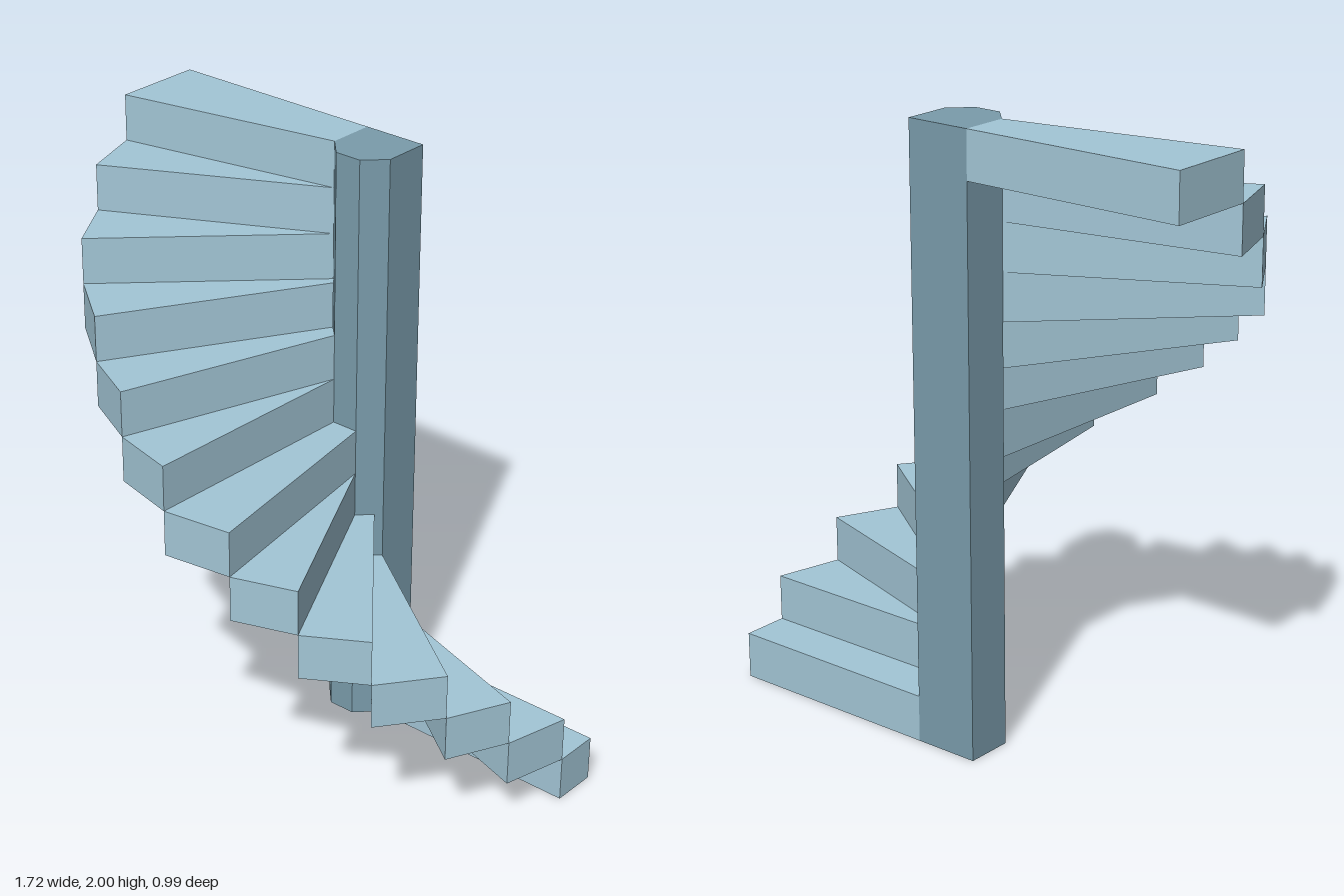
import * as THREE from 'three';

const STEPS = 13;
const HEIGHT = 2;
const RISE = HEIGHT / STEPS;

// Plan corners as [x, z], running from the lowest step round to the highest
const outer = [
  [0.86, -0.495], [0.86, -0.34], [0.807, -0.12], [0.712, 0.08], [0.57, 0.27],
  [0.378, 0.387], [0.17, 0.46], [-0.063, 0.495], [-0.283, 0.443], [-0.48, 0.348],
  [-0.672, 0.205], [-0.79, 0.015], [-0.862, -0.195], [-0.862, -0.495],
];
const inner = [
  [0.11, -0.495], [0.11, -0.338], [0.11, -0.338], [0.11, -0.338], [0.09, -0.318],
  [0.045, -0.273], [0.045, -0.273], [-0.048, -0.273], [-0.048, -0.273], [-0.09, -0.315],
  [-0.11, -0.338], [-0.11, -0.338], [-0.11, -0.338], [-0.11, -0.495],
];
const columnPlan = [
  [0.11, -0.495], [0.11, -0.338], [0.045, -0.273],
  [-0.048, -0.273], [-0.11, -0.338], [-0.11, -0.495],
];

// Upright prism standing on a plan outline
function prism(plan, height, material, name) {
  const shape = new THREE.Shape(plan.map(([x, z]) => new THREE.Vector2(x, -z)));
  const geometry = new THREE.ExtrudeGeometry(shape, { depth: height, bevelEnabled: false });
  geometry.rotateX(-Math.PI / 2);
  const mesh = new THREE.Mesh(geometry, material);
  mesh.name = name;
  return mesh;
}

export function createModel() {
  const model = new THREE.Group();
  model.name = 'spiralStaircase';
  const stepMaterial = new THREE.MeshStandardMaterial({ color: 0xa3c6d6, flatShading: true });
  const columnMaterial = new THREE.MeshStandardMaterial({ color: 0x7a9cab, flatShading: true });

  // Central column with chamfered front corners
  model.add(prism(columnPlan, HEIGHT, columnMaterial, 'column'));

  // Winding solid steps, each one rise above the last
  const steps = new THREE.Group();
  steps.name = 'steps';
  for (let i = 0; i < STEPS; i++) {
    const plan = [inner[i], outer[i], outer[i + 1]];
    const [a, b] = [inner[i], inner[i + 1]];
    if (a[0] !== b[0] || a[1] !== b[1]) plan.push(b);
    const step = prism(plan, RISE, stepMaterial, `step${i + 1}`);
    step.position.y = i * RISE;
    steps.add(step);
  }
  model.add(steps);
  return model;
}
